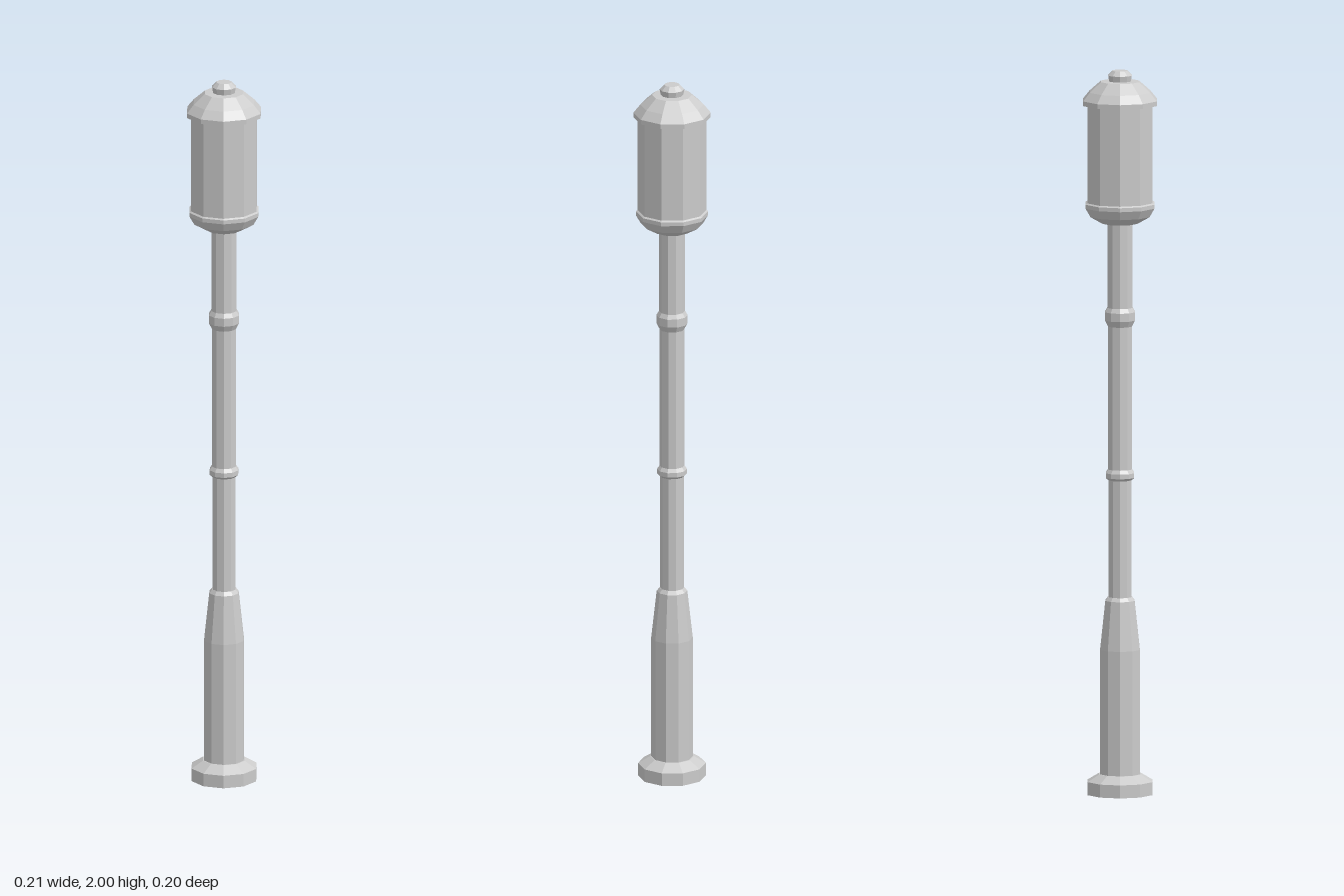
import * as THREE from 'three';

const SIDES = 10;

export function createModel() {
  const group = new THREE.Group();
  group.name = 'streetLamp';
  const material = new THREE.MeshStandardMaterial({ color: 0xcccccc, flatShading: true });

  // Turned ten-sided part from [radius, height] pairs, bottom to top, with a corner on +x
  function turned(name, profile) {
    const points = profile.map(([r, y]) => new THREE.Vector2(r, y));
    const mesh = new THREE.Mesh(new THREE.LatheGeometry(points, SIDES, Math.PI / 2), material);
    mesh.name = name;
    group.add(mesh);
  }

  // Foot plate with bevelled top
  turned('foot', [[0, 0], [0.093, 0], [0.093, 0.036], [0.06, 0.056], [0, 0.056]]);

  // Thick lower column, tapering to a small shoulder
  turned('lowerColumn', [[0.057, 0.05], [0.057, 0.4], [0.042, 0.535], [0.034, 0.545], [0, 0.545]]);

  // Slim pole with two collars
  turned('pole', [
    [0.033, 0.54], [0.033, 0.868],
    [0.041, 0.875], [0.041, 0.888], [0.034, 0.898],
    [0.034, 1.293],
    [0.043, 1.31], [0.043, 1.333], [0.036, 1.345],
    [0.036, 1.585],
  ]);

  // Cup holding the lantern
  turned('lanternCup', [
    [0, 1.578], [0.05, 1.578], [0.085, 1.598], [0.099, 1.622], [0.099, 1.633], [0.092, 1.638], [0, 1.638],
  ]);

  // Lantern body
  turned('lanternBody', [[0.094, 1.63], [0.094, 1.91]]);

  // Roof with overhanging rim
  turned('roof', [
    [0, 1.906], [0.106, 1.906], [0.106, 1.919], [0.087, 1.942], [0.055, 1.97], [0, 1.972],
  ]);

  // Finial
  turned('finial', [[0.03, 1.965], [0.034, 1.987], [0.021, 2], [0, 2]]);

  return group;
}
